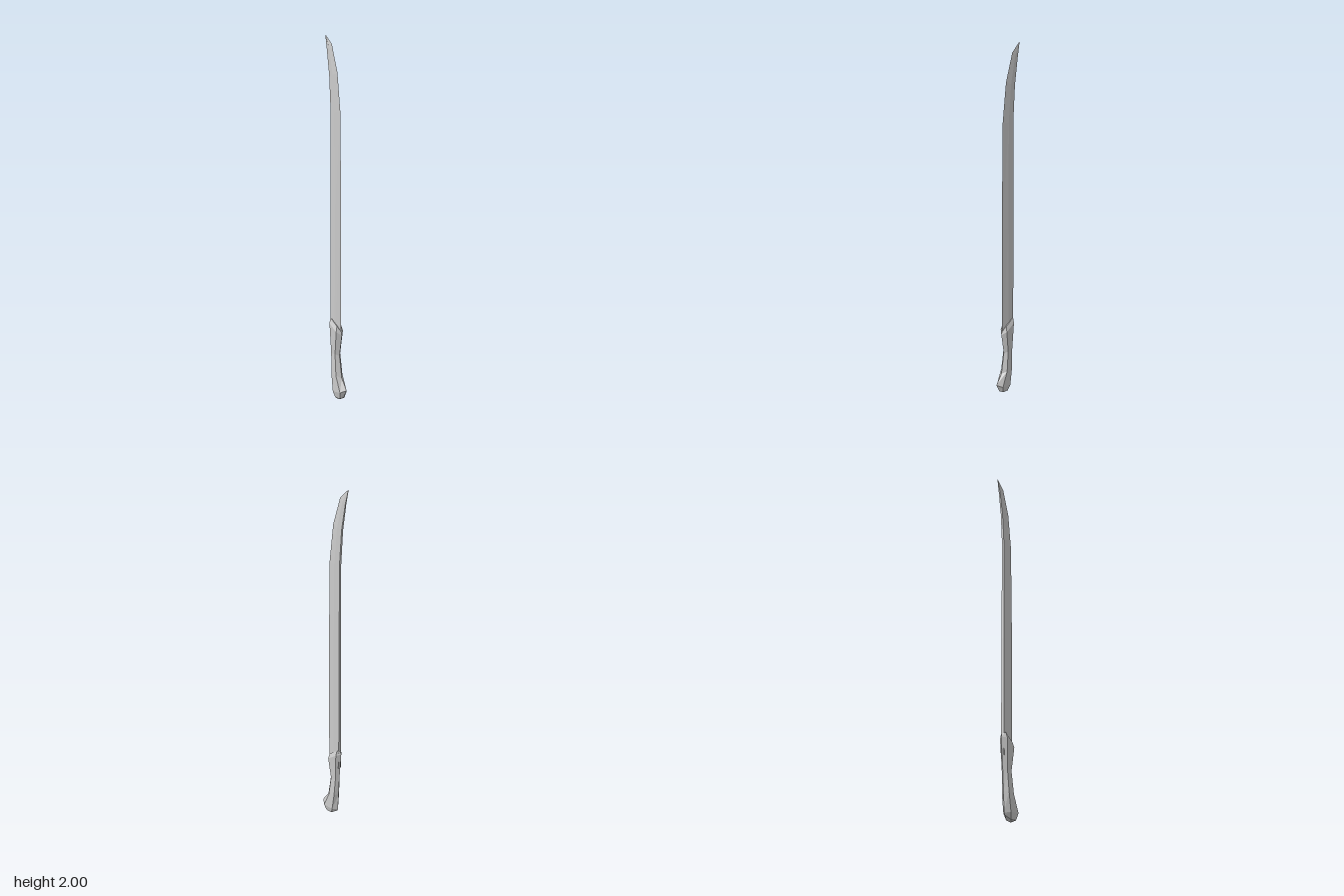
import * as THREE from 'three';

// Skin a stack of equal-length rings (bottom to top, counter-clockwise from above), closing both ends.
function loft(name, rings) {
  const pos = [];
  const tri = (a, b, c) => pos.push(...a, ...b, ...c);
  const n = rings[0].length;
  const centre = (r) => [0, 1, 2].map((k) => r.reduce((s, p) => s + p[k], 0) / n);
  const first = rings[0], last = rings[rings.length - 1];
  const c0 = centre(first), c1 = centre(last);
  c0[1] = Math.max(0, c0[1] - 0.02);
  for (let i = 0; i < n; i++) {
    const j = (i + 1) % n;
    tri(c0, first[j], first[i]);
    tri(c1, last[i], last[j]);
    for (let k = 0; k + 1 < rings.length; k++) {
      const a = rings[k], b = rings[k + 1];
      tri(a[i], a[j], b[j]);
      tri(a[i], b[j], b[i]);
    }
  }
  const geo = new THREE.BufferGeometry();
  geo.setAttribute('position', new THREE.Float32BufferAttribute(pos, 3));
  geo.computeVertexNormals();
  const mesh = new THREE.Mesh(geo, new THREE.MeshStandardMaterial({ color: 0xcccccc, flatShading: true }));
  mesh.name = name;
  return mesh;
}

// Hexagonal grip ring: front ridge, front and back side corners, back ridge; each given as [y, z].
const gripRing = ([w, f, sf, sb, b]) => [
  [0, ...f], [w, ...sf], [w, ...sb], [0, ...b], [-w, ...sb], [-w, ...sf],
];

// Five-sided blade ring: sharp front edge, shoulder ridges and a flat spine.
const bladeRing = ([w, yFront, zFront, yBack, zBack]) => {
  const zMid = zFront * 0.48 + zBack * 0.52;
  const yMid = (yFront + yBack) / 2;
  return [
    [0, yFront, zFront], [w, yMid, zMid], [w * 0.9, yBack, zBack],
    [-w * 0.9, yBack, zBack], [-w, yMid, zMid],
  ];
};

export function createModel() {
  const group = new THREE.Group();
  group.name = 'curvedSword';

  // Handle: flared pommel curling forward, slim waist, collar sloping up to the back
  group.add(loft('handle', [
    [0.016, [0.018, 0.064], [0.012, 0.05], [0.01, 0.012], [0.028, -0.018]],
    [0.025, [0.065, 0.087], [0.05, 0.06], [0.045, 0.0], [0.04, -0.024]],
    [0.024, [0.125, 0.047], [0.14, 0.025], [0.15, -0.014], [0.15, -0.029]],
    [0.019, [0.25, 0.028], [0.26, 0.012], [0.26, -0.02], [0.25, -0.034]],
    [0.025, [0.37, 0.047], [0.39, 0.028], [0.43, -0.028], [0.435, -0.048]],
    [0.016, [0.39, 0.042], [0.42, 0.024], [0.46, -0.03], [0.45, -0.042]],
  ].map(gripRing)));

  // Blade: long straight run, then a backward sweep to the tip
  group.add(loft('blade', [
    [0.011, 0.34, 0.04, 0.34, -0.037],
    [0.01, 1.0, 0.041, 1.0, -0.037],
    [0.008, 1.59, 0.034, 1.59, -0.037],
    [0.007, 1.8, 0.01, 1.78, -0.049],
    [0.005, 1.95, -0.035, 1.92, -0.07],
    [0.001, 2.0, -0.086, 1.998, -0.087],
  ].map(bladeRing)));

  return group;
}
